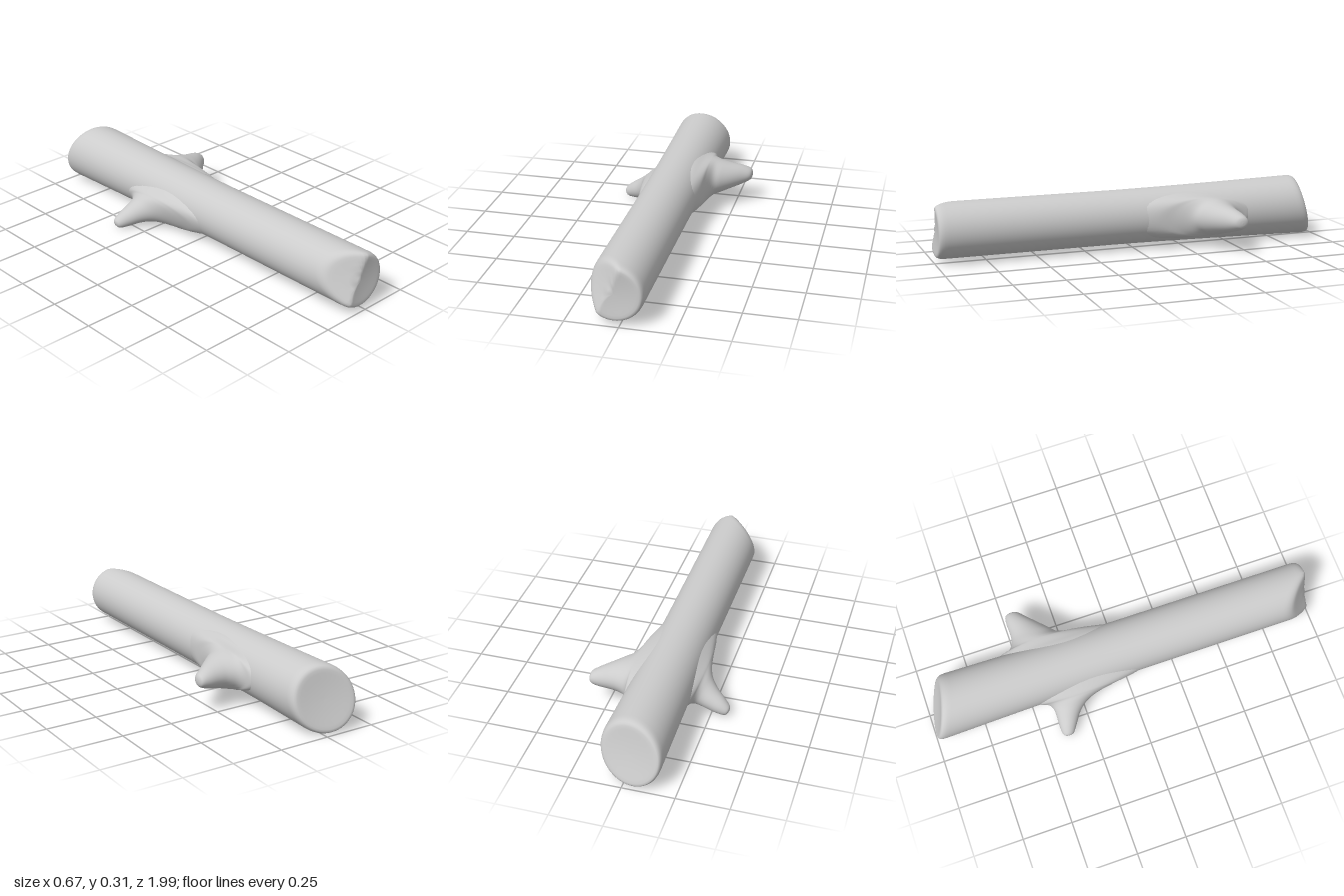
import * as THREE from 'three';

const material = new THREE.MeshStandardMaterial({ color: 0xcccccc });
const AXIS_X = -0.025, AXIS_Y = 0.164;

// Skin over closed rings: point(row, angle) gives [x, y, z]
function skin(name, rows, cols, point) {
  const positions = [], index = [];
  for (let i = 0; i < rows; i++)
    for (let j = 0; j < cols; j++) positions.push(...point(i, (j / cols) * Math.PI * 2));
  for (let i = 0; i < rows - 1; i++)
    for (let j = 0; j < cols; j++) {
      const k = (j + 1) % cols;
      const a = i * cols + j, b = a + cols, c = (i + 1) * cols + k, d = i * cols + k;
      index.push(a, b, c, a, c, d);
    }
  const geometry = new THREE.BufferGeometry();
  geometry.setAttribute('position', new THREE.Float32BufferAttribute(positions, 3));
  geometry.setIndex(index);
  geometry.computeVertexNormals();
  const mesh = new THREE.Mesh(geometry, material);
  mesh.name = name;
  return mesh;
}

// Obliquely cut ends, as heights over the unit disc (u, v)
const frontCut = (u, v) =>
  0.998 - 0.16 * Math.max(0, -0.9 * u + 0.4 * v - 0.2) - 0.012 * Math.max(0, 1 - u * u - v * v);
const backCut = (u, v) =>
  -0.952 + 0.034 * u + 0.042 * v + 0.012 * Math.max(0, 1 - u * u - v * v);

// Trunk radius along z, swelling toward the back
function trunkRadius(z) {
  const t = THREE.MathUtils.clamp((0.1 - z) / 1.05, 0, 1);
  return 0.136 + 0.018 * Math.pow(t, 1.4);
}

function trunk() {
  // [radius factor, inset from the cut] for a cap with a rounded rim
  const cap = [[0.001, 0], [0.2, 0], [0.4, 0], [0.6, 0], [0.75, 0], [0.85, 0.001],
    [0.91, 0.004], [0.95, 0.01], [0.98, 0.02], [0.995, 0.033], [1, 0.05]];
  const rows = cap.map(([f, inset]) => ({ f, inset, t: 0 }));
  const steps = 24;
  for (let i = 1; i < steps; i++) rows.push({ f: 1, inset: 0.05, t: i / steps });
  for (const [f, inset] of [...cap].reverse()) rows.push({ f, inset, t: 1 });

  return skin('trunk', rows.length, 56, (i, a) => {
    const { f, inset, t } = rows[i];
    const u = f * Math.cos(a), v = f * Math.sin(a);
    const z = THREE.MathUtils.lerp(frontCut(u, v) - inset, backCut(u, v) + inset, t);
    const r = trunkRadius(z);
    return [AXIS_X + r * u, AXIS_Y + r * v, z];
  });
}

// Branch stub along local +x; sections are [distance, back z, front z, half height]
function stub(name, sections, angle) {
  const curve = (pick) => new THREE.CatmullRomCurve3(sections.map(pick), false, 'catmullrom', 0.5);
  const outline = curve(([r, back, front]) => new THREE.Vector3(r, back, front));
  const height = curve(([r, , , h]) => new THREE.Vector3(r, h, 0));
  const rows = sections.length * 4;
  const mesh = skin(name, rows, 36, (i, a) => {
    const t = i / (rows - 1);
    const o = outline.getPoint(t), h = height.getPoint(t).y;
    const mid = (o.y + o.z) / 2, half = (o.z - o.y) / 2;
    return [o.x, h * Math.cos(a), mid + half * Math.sin(a)];
  });
  mesh.position.set(AXIS_X, AXIS_Y, 0);
  mesh.rotation.z = angle;
  return mesh;
}

export function createModel() {
  const log = new THREE.Group();
  log.name = 'log';
  log.add(trunk());

  // Larger stub on the left, pointing straight out
  log.add(stub('leftBranchStub', [
    [0.356, -0.456, -0.455, 0.001],
    [0.353, -0.475, -0.435, 0.018],
    [0.342, -0.49, -0.415, 0.032],
    [0.305, -0.495, -0.382, 0.049],
    [0.25, -0.494, -0.33, 0.066],
    [0.21, -0.498, -0.292, 0.079],
    [0.175, -0.515, -0.255, 0.09],
    [0.155, -0.545, -0.18, 0.096],
    [0.143, -0.59, -0.08, 0.099],
    [0.115, -0.63, 0.05, 0.105],
    [0.09, -0.64, 0.1, 0.113],
    [0.06, -0.64, 0.1, 0.12],
  ], 0));

  // Smaller stub on the right, drooping
  log.add(stub('rightBranchStub', [
    [0.337, -0.371, -0.37, 0.001],
    [0.334, -0.388, -0.353, 0.015],
    [0.322, -0.4, -0.34, 0.028],
    [0.285, -0.405, -0.315, 0.042],
    [0.235, -0.404, -0.28, 0.054],
    [0.195, -0.405, -0.23, 0.066],
    [0.17, -0.415, -0.16, 0.077],
    [0.153, -0.44, -0.06, 0.085],
    [0.141, -0.48, 0.03, 0.091],
    [0.115, -0.52, 0.12, 0.099],
    [0.06, -0.52, 0.12, 0.115],
  ], Math.PI + 0.41));

  return log;
}
